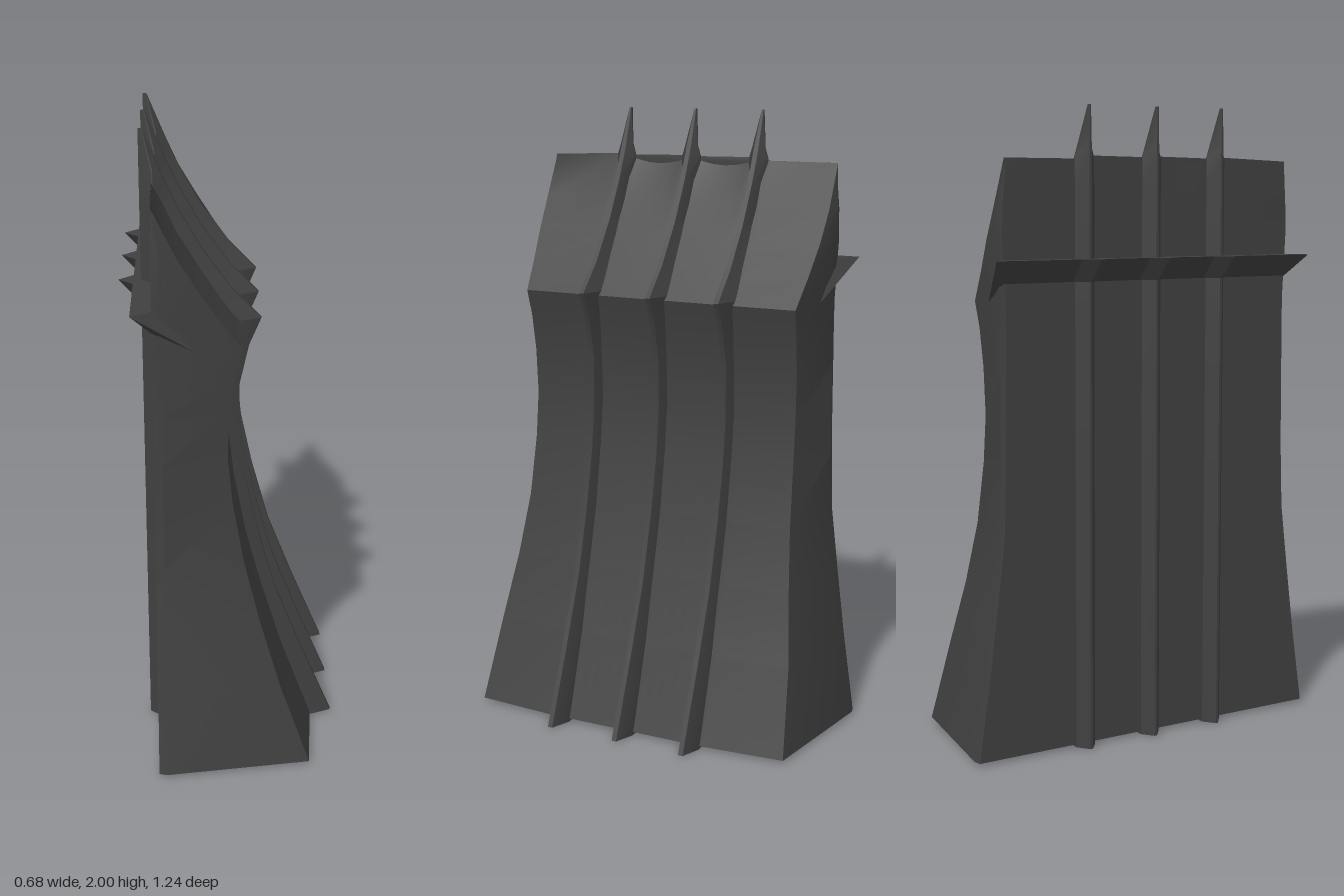
import * as THREE from 'three';
import { toCreasedNormals } from 'three/addons/utils/BufferGeometryUtils.js';

// Skin closed rings of [x, y, z] points, capping both ends.
function loft(rings, crease = 0.45) {
  const n = rings[0].length;
  const index = [];
  for (let r = 0; r < rings.length - 1; r++) {
    for (let i = 0; i < n; i++) {
      const a = r * n + i, b = r * n + (i + 1) % n;
      index.push(a, b, b + n, a, b + n, a + n);
    }
  }
  const last = (rings.length - 1) * n;
  for (let i = 1; i < n - 1; i++) {
    index.push(0, i + 1, i, last, last + i, last + i + 1);
  }
  const geometry = new THREE.BufferGeometry();
  geometry.setAttribute('position', new THREE.Float32BufferAttribute(rings.flat(2), 3));
  geometry.setIndex(index);
  return toCreasedNormals(geometry, crease);
}

const BACK = -0.235;
const FIN_Z = [-0.24, 0, 0.24];

// Wall: height, front x, half width near the back, half width at the front
const WALL = [
  [0.01, 0.245, 0.62, 0.555],
  [0.28, 0.15, 0.58, 0.53],
  [0.5, 0.085, 0.552, 0.5],
  [0.7, 0.035, 0.528, 0.48],
  [0.9, 0, 0.521, 0.473],
  [1.05, -0.015, 0.519, 0.472],
  [1.2, -0.01, 0.518, 0.475],
  [1.32, 0.008, 0.517, 0.478],
  [1.405, 0.03, 0.517, 0.482],
  [1.5, -0.04, 0.522, 0.495],
  [1.6, -0.105, 0.527, 0.507],
  [1.7, -0.165, 0.525, 0.512],
  [1.84, -0.233, 0.512, 0.51],
];

function wallRing([y, xf, w, wf], row) {
  const top = row === WALL.length - 1;
  const bulge = 0.02 * Math.max(0, 1 - y / 1.5);
  const inner = [0.28, 0.24, 0.2, 0.16, 0.12, 0.08, 0.04, 0];
  const zs = [...inner, ...inner.slice(0, -1).reverse().map((z) => -z)];
  // Scalloped rim between the fins
  const rim = (z) => {
    if (!top || Math.abs(z) > 0.25) return y;
    return y + 0.01 - 0.03 * Math.sin(Math.PI * (Math.abs(z) / 0.24)) ** 0.7;
  };
  const safeRim = (z) => (Math.abs(Math.abs(z) - 0.24) < 0.001 ? y + (top ? 0.01 : 0) : rim(z));
  return [
    [BACK, y, w - 0.006],
    [Math.min(BACK + 0.025, xf), y, w],
    [xf, y, wf],
    ...zs.map((z) => [xf + bulge, safeRim(z), z]),
    [xf, y, -wf],
    [Math.min(BACK + 0.025, xf), y, -w],
    [BACK, y, -w + 0.006],
    ...zs.map((z) => [BACK, safeRim(z), -z]),
  ];
}

// Fin: height, front ridge x, half thickness
const FIN = [
  [0, 0.336, 0.034],
  [0.25, 0.232, 0.034],
  [0.48, 0.143, 0.034],
  [0.7, 0.083, 0.034],
  [0.88, 0.045, 0.034],
  [1.02, 0.028, 0.034],
  [1.2, 0.026, 0.034],
  [1.33, 0.055, 0.034],
  [1.418, 0.092, 0.034],
  [1.51, 0.003, 0.034],
  [1.64, -0.09, 0.034],
  [1.77, -0.162, 0.034],
  [1.845, -0.196, 0.034],
  [1.88, -0.211, 0.023],
  [2, -0.26, 0.003],
];

function finRing([y, xr, h]) {
  const shoulder = Math.min(xr, Math.max(BACK + 0.004, xr - 0.065));
  const back = Math.min(BACK, xr - 0.004);
  const tip = Math.min(0.008, h);
  return [
    [-0.272, y, tip / 2], [back, y, h], [shoulder, y, h], [xr, y, tip],
    [xr, y, -tip], [shoulder, y, -h], [back, y, -h], [-0.272, y, -tip / 2],
  ];
}

// Rear ledge running across the back, with a point behind every fin
function ledgeRings() {
  const section = (z, out, low, zOut = z) => [
    [out, 1.54, zOut], [low, 1.47, z], [-0.22, 1.48, z], [-0.22, 1.54, z],
  ];
  const tip = (side) => Array.from({ length: 4 }, () => [-0.115, 1.41, side * 0.508]);
  const rings = [tip(-1), section(-0.518, -0.295, BACK, -0.57)];
  for (const z of FIN_Z) {
    rings.push(section(z - 0.042, -0.295, BACK));
    rings.push(section(z, -0.34, -0.275));
    rings.push(section(z + 0.042, -0.295, BACK));
  }
  rings.push(section(0.518, -0.295, BACK, 0.57), tip(1));
  return rings;
}

export function createModel() {
  const group = new THREE.Group();
  const stone = new THREE.MeshStandardMaterial({ color: 0x404040 });
  stone.name = 'darkGrey';

  const add = (name, geometry) => {
    const mesh = new THREE.Mesh(geometry, stone);
    mesh.name = name;
    group.add(mesh);
    return mesh;
  };

  add('wall', loft(WALL.map(wallRing)));
  const finGeometry = loft(FIN.map(finRing));
  FIN_Z.forEach((z, i) => {
    add(`fin${i + 1}`, finGeometry).position.z = z;
  });
  add('rearLedge', loft(ledgeRings(), 0.2));

  return group;
}
